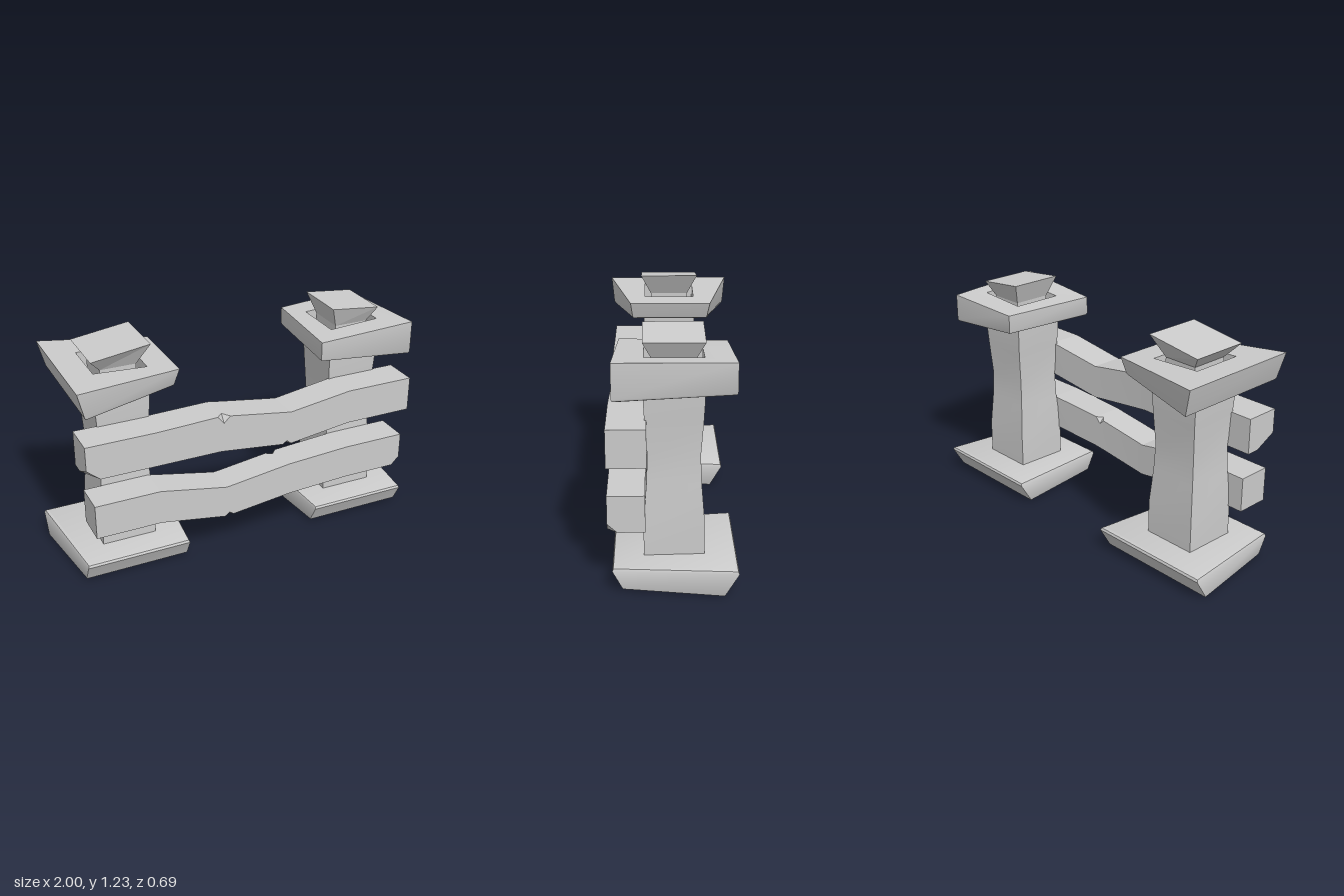
import * as THREE from 'three';
import { toCreasedNormals } from 'three/addons/utils/BufferGeometryUtils.js';

const material = new THREE.MeshStandardMaterial({ color: 0xcccccc });

// Skins a list of rings (each counter-clockwise seen from the end of the loft).
// closed: the last ring joins the first, otherwise both ends are capped.
function loft(name, rings, closed = false, crease = 0.6) {
  const pos = [];
  const tri = (a, b, c) => {
    const [A, B, C] = [a, b, c].map((p) => new THREE.Vector3(...p));
    if (B.clone().sub(A).cross(C.clone().sub(A)).length() > 1e-8) pos.push(...a, ...b, ...c);
  };
  const n = rings[0].length;
  const last = closed ? rings.length : rings.length - 1;
  for (let i = 0; i < last; i++) {
    const lo = rings[i], hi = rings[(i + 1) % rings.length];
    for (let j = 0; j < n; j++) {
      const k = (j + 1) % n;
      tri(lo[j], lo[k], hi[k]);
      tri(lo[j], hi[k], hi[j]);
    }
  }
  if (!closed) {
    const bottom = rings[0], top = rings[rings.length - 1];
    for (let j = 1; j < n - 1; j++) {
      tri(top[0], top[j], top[j + 1]);
      tri(bottom[0], bottom[j + 1], bottom[j]);
    }
  }
  const geometry = new THREE.BufferGeometry();
  geometry.setAttribute('position', new THREE.Float32BufferAttribute(pos, 3));
  const mesh = new THREE.Mesh(toCreasedNormals(geometry, crease), material);
  mesh.name = name;
  return mesh;
}

// Rectangle ring; corners run back -x, front -x, front +x, back +x
const rect = (x0, x1, z0, z1, y) => [[x0, y, z0], [x0, y, z1], [x1, y, z1], [x1, y, z0]];

// Moves a ring's corners towards its middle by d and up by dy
function inset(ring, d, dy) {
  const cx = ring.reduce((s, p) => s + p[0], 0) / 4;
  const cz = ring.reduce((s, p) => s + p[2], 0) / 4;
  return ring.map(([x, y, z]) => [x - Math.sign(x - cx) * d, y + dy, z - Math.sign(z - cz) * d]);
}

// Slab rings with a softly rounded rim at the bottom and/or top
function slab(bottom, top, rb, rt) {
  const rings = [];
  if (rb) rings.push(inset(bottom, rb, 0), inset(bottom, rb * 0.3, rb * 0.3));
  rings.push(rb ? inset(bottom, 0, rb) : bottom);
  rings.push(rt ? inset(top, 0, -rt) : top);
  if (rt) rings.push(inset(top, rt * 0.3, -rt * 0.3), inset(top, rt, 0));
  return rings;
}

// Bent plank. profile: [x, top, bottom]; chips: [x, corner, cut y, cut z, half length]
// corners: 0 back bottom, 1 back top, 2 front top, 3 front bottom
function rail(name, profile, back, chips) {
  const x0 = profile[0][0], x1 = profile[profile.length - 1][0];
  const xs = new Set(profile.map((p) => p[0]));
  for (const [x, , , , w] of chips) [x - w, x, x + w].forEach((v) => v >= x0 && v <= x1 && xs.add(v));
  const rings = [...xs].sort((a, b) => a - b).map((x) => {
    const i = Math.max(1, profile.findIndex((p) => p[0] >= x));
    const a = profile[i - 1], b = profile[i], t = (x - a[0]) / (b[0] - a[0]);
    const top = a[1] + (b[1] - a[1]) * t, bottom = a[2] + (b[2] - a[2]) * t;
    const zb = back + 0.015 * Math.max(0, 1 - Math.abs(x) / 0.5);
    const corners = [[bottom, zb], [top, zb], [top, 0.32], [bottom, 0.32]];
    return corners.flatMap(([y, z], c) => {
      let cy = 0, cz = 0;
      for (const [cx, corner, dy, dz, w] of chips) {
        const f = Math.max(0, 1 - Math.abs(x - cx) / w);
        if (corner === c) { cy += dy * f; cz += dz * f; }
      }
      const onY = [x, y + (c === 0 || c === 3 ? cy : -cy), z];
      const onZ = [x, y, z + (c < 2 ? cz : -cz)];
      return c % 2 ? [onY, onZ] : [onZ, onY];
    });
  });
  return loft(name, rings, false, 0.05);
}

// Waisted square post: [y, half width x, half width z]
function post(name, cx) {
  const profile = [[0.08, 0.147, 0.147], [0.31, 0.146, 0.147], [0.5, 0.133, 0.132],
    [0.64, 0.128, 0.127], [0.82, 0.138, 0.14], [0.9, 0.143, 0.144], [1.0, 0.146, 0.146]];
  return loft(name, profile.map(([y, w, d]) => rect(cx - w, cx + w, -d, d, y)));
}

// Skewed collar with a square well around the finial
function collar(name, bottom, top, cx) {
  const outer = slab(bottom, top, 0.015, 0);
  // the well follows the slope of the top
  const slope = (top[2][1] + top[3][1] - top[0][1] - top[1][1]) / (top[2][0] + top[3][0] - top[0][0] - top[1][0]);
  const mid = top.reduce((s, p) => s + p[1], 0) / 4;
  const mx = top.reduce((s, p) => s + p[0], 0) / 4;
  const well = rect(cx - 0.14, cx + 0.14, -0.14, 0.14, 0);
  const rim = well.map(([x, , z]) => [x, mid + slope * (x - mx), z]);
  const floor = well.map(([x, , z]) => [x, 0.985, z]);
  return loft(name, [...outer, rim, floor], true, 0.5);
}

// Flared finial with a tilted top: yl and yr are the heights at its two x ends
function finial(name, cx, w, d, yl, yr) {
  const top = rect(cx - w, cx + w, -d, d, 0).map(([x, , z]) => [x, x < cx ? yl : yr, z]);
  return loft(name, [rect(cx - 0.095, cx + 0.095, -0.105, 0.105, 0.98),
    rect(cx - 0.095, cx + 0.095, -0.105, 0.105, 1.11), top], false, 0.1);
}

export function createModel() {
  const group = new THREE.Group();

  // Feet: wide at the back, undercut at front and back
  const foot = (name, b0, f0, f1, b1) => loft(name, slab(
    [[b0, 0, -0.24], [f0, 0.01, 0.25], [f1, 0.01, 0.25], [b1, 0, -0.24]],
    [[b0, 0.135, -0.305], [f0, 0.125, 0.297], [f1, 0.125, 0.297], [b1, 0.135, -0.305]],
    0.008, 0.018));
  group.add(foot('rightFoot', -1, -0.94, -0.375, -0.315));
  group.add(foot('leftFoot', 0.34, 0.385, 0.94, 1));

  // Posts
  group.add(post('rightPost', -0.66), post('leftPost', 0.665));

  // Collars
  group.add(collar('rightCollar',
    [[-0.91, 0.97, -0.335], [-0.91, 0.97, 0.33], [-0.405, 0.998, 0.21], [-0.405, 0.998, -0.215]],
    [[-0.945, 1.122, -0.35], [-0.945, 1.122, 0.345], [-0.38, 1.092, 0.22], [-0.38, 1.092, -0.23]], -0.66));
  group.add(collar('leftCollar',
    [[0.44, 0.998, -0.27], [0.4, 0.995, 0.265], [0.935, 0.953, 0.288], [0.89, 0.967, -0.29]],
    [[0.44, 1.105, -0.27], [0.4, 1.105, 0.265], [0.935, 1.14, 0.288], [0.89, 1.125, -0.29]], 0.665));

  // Finials
  group.add(finial('rightFinial', -0.66, 0.156, 0.16, 1.182, 1.225));
  group.add(finial('leftFinial', 0.667, 0.138, 0.147, 1.225, 1.195));

  // Rails with chipped edges
  group.add(rail('upperRail', [[-0.92, 0.822, 0.632], [-0.55, 0.822, 0.632], [-0.2, 0.835, 0.632],
    [0.2, 0.773, 0.585], [0.55, 0.822, 0.632], [0.93, 0.822, 0.632]], 0.13,
  [[-0.92, 3, 0.06, 0.12, 0.07], [-0.185, 2, 0.04, 0.035, 0.035], [0.18, 3, 0.02, 0.03, 0.025]]));
  group.add(rail('lowerRail', [[-0.89, 0.48, 0.292], [-0.54, 0.48, 0.292], [-0.17, 0.41, 0.23],
    [0.2, 0.46, 0.275], [0.55, 0.48, 0.292], [0.9, 0.48, 0.292]], 0.138,
  [[0.9, 3, 0.045, 0.05, 0.045], [-0.155, 3, 0.02, 0.03, 0.025], [0.17, 1, 0.03, 0.03, 0.03]]));

  return group;
}
